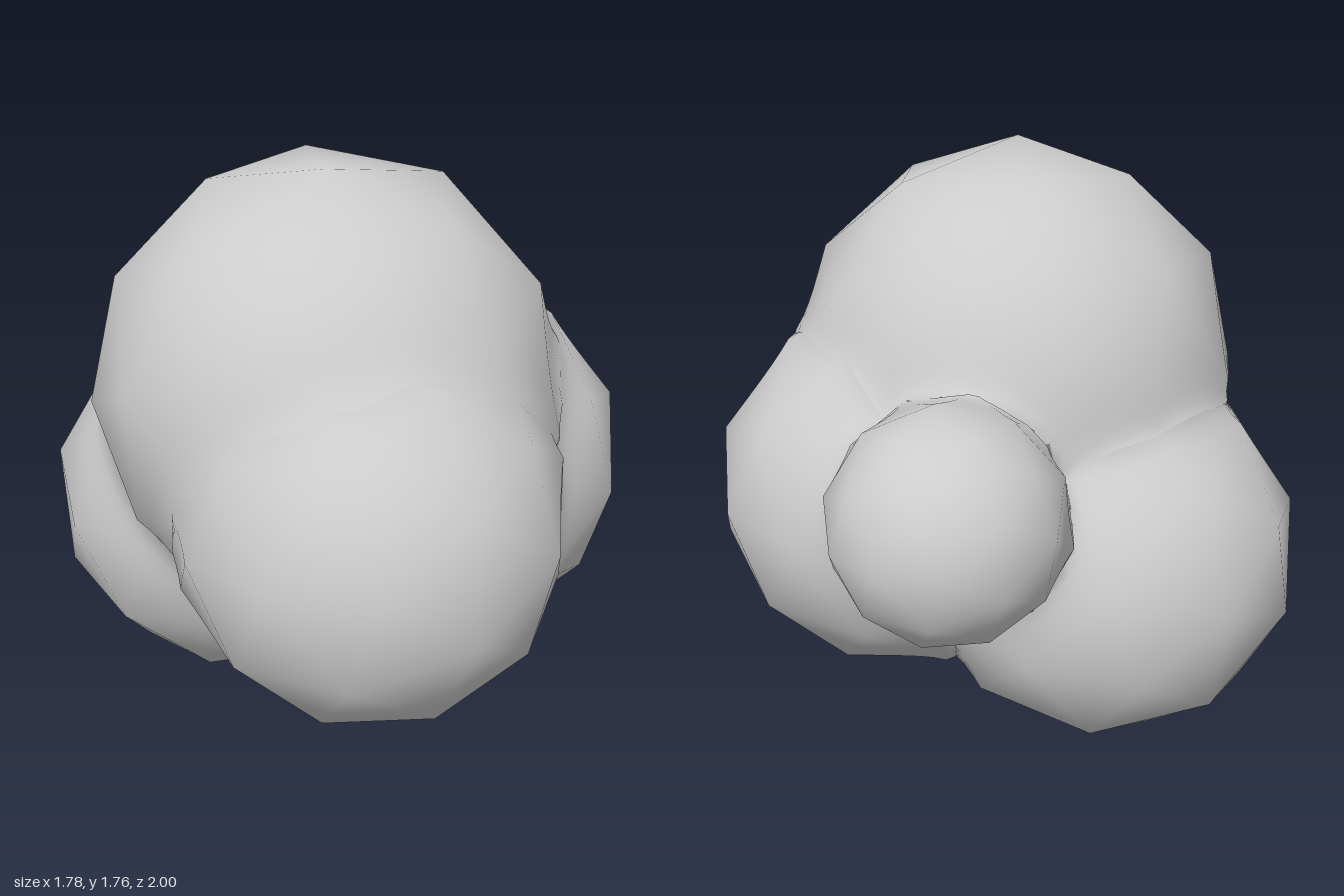
import * as THREE from 'three';

// Overlapping balls: name, centre, radius, direction of one facet corner
const balls = [
  ['topBall', [0.08, 1.1, 0.15], 0.69, [0.05, 0.69, 0.13]],
  ['frontBall', [0.34, 0.83, 0.45], 0.56, [-0.06, 0.08, 0.55]],
  ['backBall', [0.33, 0.76, -0.17], 0.565, [0.54, 0, 0.04]],
  ['sideBall', [-0.3, 0.59, 0], 0.59, [0.1, -0.58, 0.1]],
  ['smallBall', [-0.09, 0.96, -0.66], 0.34, [0.04, 0.01, -0.34]],
].map(([name, c, r, pole]) => ({
  name, r,
  centre: new THREE.Vector3(...c),
  pole: new THREE.Vector3(...pole).normalize(),
}));

const BLEND = 0.035; // softness of the creases between balls
const STEPS = 8; // grid steps along each flat facet

// Signed distance to a ball, allowing for its flattened facets
const distance = (p, ball) => p.distanceTo(ball.centre) - ball.r * 0.97;

// Push a point out near the creases and blend its normal with its neighbours'
function soften(p, own) {
  const normal = p.clone().sub(own.centre).normalize();
  let sum = 1;
  for (const other of balls) {
    if (other === own) continue;
    const d = distance(p, other);
    const away = p.clone().sub(other.centre).normalize();
    normal.addScaledVector(away, Math.exp(-Math.max(d, -0.1) / BLEND));
    sum += Math.exp(-Math.max(d, 0) / BLEND);
  }
  normal.normalize();
  return { position: p.clone().addScaledVector(normal, BLEND * Math.log(sum)), normal };
}

// Faceted ball: each flat facet is split into a fine grid, buried pieces dropped
function ballGeometry(ball) {
  const base = new THREE.IcosahedronGeometry(ball.r, 1);
  base.applyQuaternion(new THREE.Quaternion().setFromUnitVectors(new THREE.Vector3(0, 1, 0), ball.pole));
  base.translate(...ball.centre.toArray());
  const corners = base.getAttribute('position');
  const positions = [], normals = [];

  const addTriangle = (...points) => {
    const middle = new THREE.Vector3();
    points.forEach((p) => middle.addScaledVector(p, 1 / 3));
    if (balls.some((other) => other !== ball && distance(middle, other) < -0.06)) return;
    for (const p of points) {
      const soft = soften(p, ball);
      positions.push(...soft.position.toArray());
      normals.push(...soft.normal.toArray());
    }
  };

  for (let f = 0; f < corners.count; f += 3) {
    const [a, b, c] = [0, 1, 2].map((k) => new THREE.Vector3().fromBufferAttribute(corners, f + k));
    const at = (i, j) => a.clone()
      .addScaledVector(b.clone().sub(a), i / STEPS)
      .addScaledVector(c.clone().sub(a), j / STEPS);
    for (let i = 0; i < STEPS; i++) {
      for (let j = 0; i + j < STEPS; j++) {
        addTriangle(at(i, j), at(i + 1, j), at(i, j + 1));
        if (i + j < STEPS - 1) addTriangle(at(i + 1, j), at(i + 1, j + 1), at(i, j + 1));
      }
    }
  }
  const geometry = new THREE.BufferGeometry();
  geometry.setAttribute('position', new THREE.Float32BufferAttribute(positions, 3));
  geometry.setAttribute('normal', new THREE.Float32BufferAttribute(normals, 3));
  return geometry;
}

export function createModel() {
  const group = new THREE.Group();
  group.name = 'ballCluster';
  const material = new THREE.MeshStandardMaterial({ color: 0xcccccc });
  for (const ball of balls) {
    const mesh = new THREE.Mesh(ballGeometry(ball), material);
    mesh.name = ball.name;
    group.add(mesh);
  }
  return group;
}
